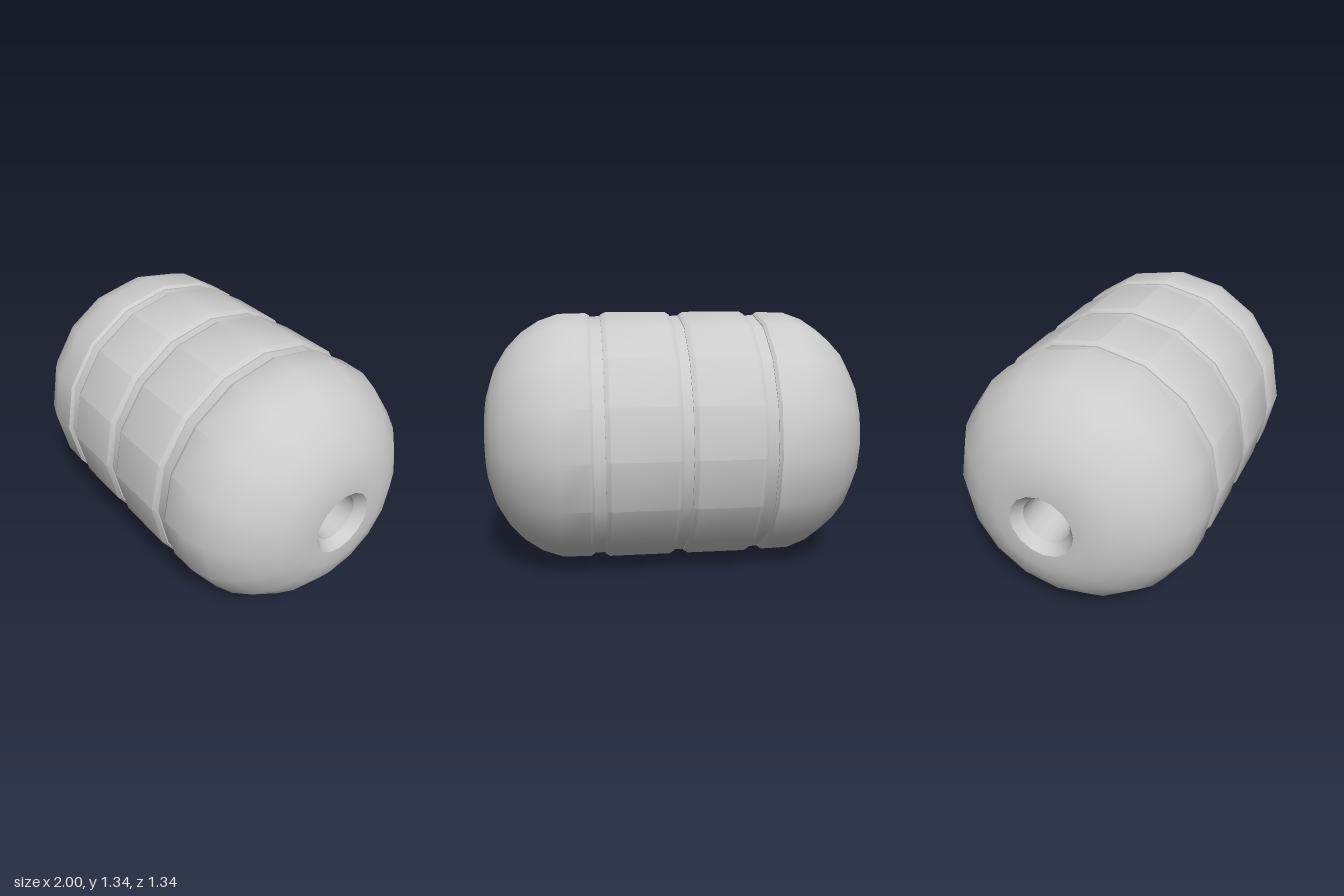
import * as THREE from 'three';
import { toCreasedNormals } from 'three/addons/utils/BufferGeometryUtils.js';

const SIDES = 16;
const RADIUS = 0.671;
const CORE = 0.65;

export function createModel() {
  const group = new THREE.Group();
  group.name = 'barrel';
  const material = new THREE.MeshStandardMaterial({ color: 0xcccccc });

  // Revolve [x, radius] points, listed from -x to +x, about the long axis
  function addPart(name, profile) {
    const points = profile.map(([x, r]) => new THREE.Vector2(r, x));
    const lathe = new THREE.LatheGeometry(points, SIDES);
    lathe.rotateZ(-Math.PI / 2);
    const mesh = new THREE.Mesh(toCreasedNormals(lathe, THREE.MathUtils.degToRad(35)), material);
    mesh.name = name;
    mesh.position.y = RADIUS;
    group.add(mesh);
  }

  // Domed end with a chamfered, deep round socket
  const cap = [
    [0.447, CORE - 0.005], [0.447, 0.655], [0.468, 0.667], [0.615, 0.664],
    [0.72, 0.627], [0.815, 0.565], [0.895, 0.482], [0.96, 0.378], [1, 0.255],
    [1, 0.17], [0.95, 0.127], [0.68, 0.11], [0.68, 0],
  ];
  addPart('leftCap', cap);
  addPart('rightCap', cap.map(([x, r]) => [x === 0.447 ? -0.452 : -x, r]).reverse());

  // Raised bands with bevelled edges
  for (const [name, a, b] of [['rightBand', -0.397, -0.035], ['leftBand', 0.015, 0.39]]) {
    addPart(name, [
      [a, CORE - 0.005], [a, 0.656], [a + 0.025, RADIUS],
      [b - 0.025, RADIUS], [b, 0.656], [b, CORE - 0.005],
    ]);
  }

  // Inner drum seen at the bottom of the grooves
  addPart('core', [[-0.46, CORE], [0.46, CORE]]);

  return group;
}
